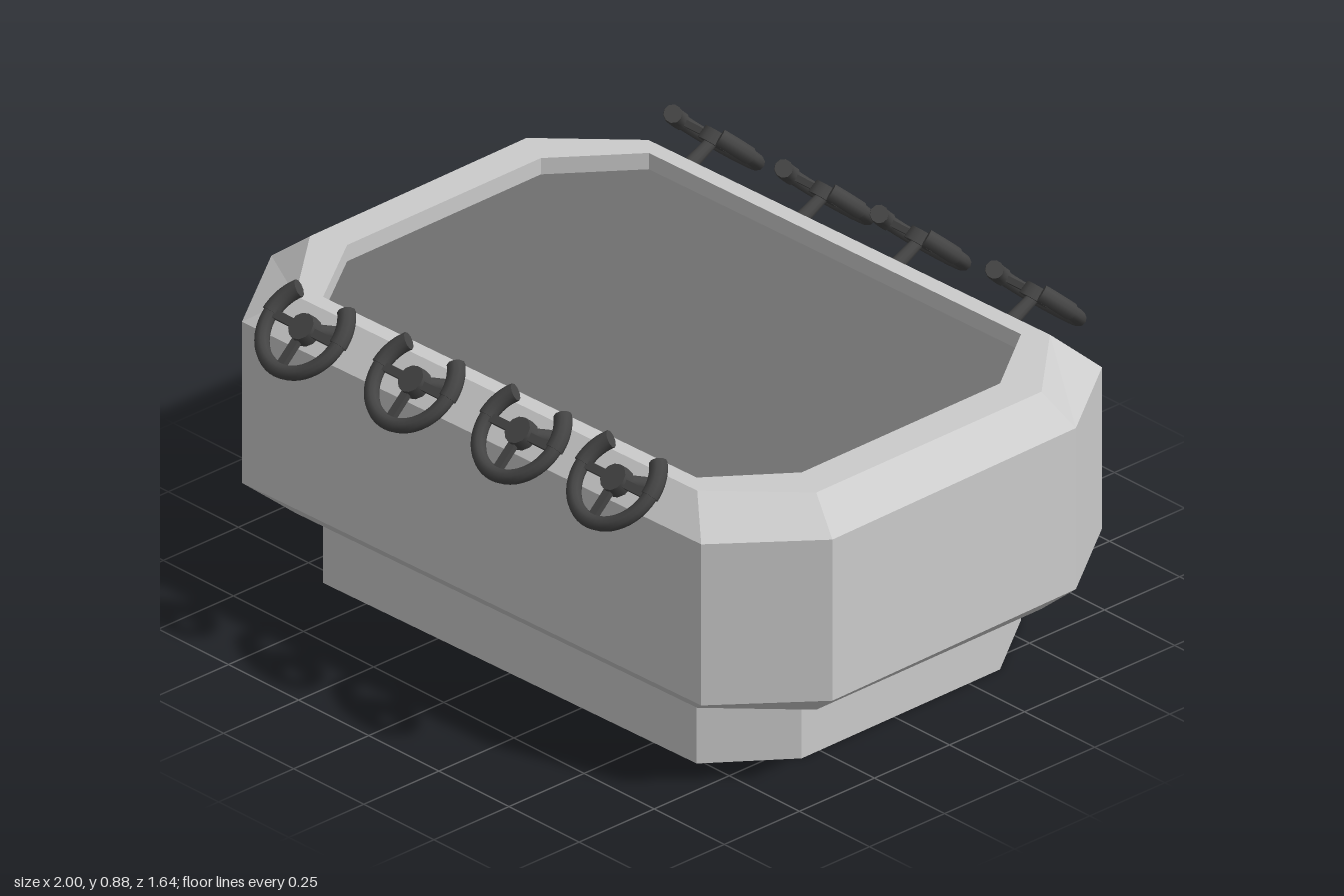
import * as THREE from 'three';

const grey = new THREE.MeshStandardMaterial({ color: 0xcccccc, flatShading: true });
const floorGrey = new THREE.MeshStandardMaterial({ color: 0x707070, flatShading: true });
const dark = new THREE.MeshStandardMaterial({ color: 0x444444 });

// Eight-cornered, slightly skewed outlines as [x, z]
const belly = [[-0.8, -0.66], [0.8, -0.695], [0.985, -0.435], [1, 0.39], [0.8, 0.64], [-0.8, 0.675], [-1, 0.39], [-0.995, -0.4]];
const rim = [[-0.7, -0.585], [0.7, -0.615], [0.9, -0.4], [0.905, 0.355], [0.7, 0.56], [-0.7, 0.59], [-0.9, 0.355], [-0.91, -0.375]];
const inner = [[-0.65, -0.54], [0.65, -0.565], [0.8, -0.355], [0.805, 0.31], [0.65, 0.515], [-0.65, 0.545], [-0.805, 0.32], [-0.81, -0.33]];

function geometryFrom(points) {
  const g = new THREE.BufferGeometry();
  g.setAttribute('position', new THREE.Float32BufferAttribute(points.flat(), 3));
  g.computeVertexNormals();
  return g;
}

const at = ([x, z], y) => [x, y, z];

// Walls joining successive [outline, height] sections
function skin(sections) {
  const pts = [];
  for (let s = 0; s < sections.length - 1; s++) {
    const [lo, y0] = sections[s], [hi, y1] = sections[s + 1];
    lo.forEach((p, i) => {
      const j = (i + 1) % lo.length;
      const a = at(p, y0), b = at(lo[j], y0), c = at(hi[i], y1), d = at(hi[j], y1);
      pts.push(a, c, b, b, c, d);
    });
  }
  return geometryFrom(pts);
}

// Flat fan filling an outline
function cap(outline, y, up) {
  const pts = [];
  for (let i = 1; i < outline.length - 1; i++) {
    const [m, n] = up ? [i + 1, i] : [i, i + 1];
    pts.push(at(outline[0], y), at(outline[m], y), at(outline[n], y));
  }
  return geometryFrom(pts);
}

function add(parent, name, geometry, material) {
  const mesh = new THREE.Mesh(geometry, material);
  mesh.name = name;
  parent.add(mesh);
  return mesh;
}

// Steering wheel, open at the top, facing outward and up
function steeringWheel(x, z) {
  const R = 0.119, tilt = 0.82;
  const unit = new THREE.Group();
  unit.name = 'steeringUnit';
  unit.position.set(x, 0.805, z);
  if (z < 0) unit.rotation.y = Math.PI;

  const wheel = new THREE.Group();
  wheel.name = 'steeringWheel';
  wheel.rotation.x = -tilt;
  unit.add(wheel);

  add(wheel, 'wheelRing', new THREE.TorusGeometry(R, 0.019, 10, 36, Math.PI * 1.5), dark).rotation.z = Math.PI * 0.75;

  // Thicker grips beside the gap, closed at both ends
  for (const start of [0, Math.PI * 0.75]) {
    add(wheel, 'grip', new THREE.TorusGeometry(R, 0.023, 10, 10, Math.PI / 4), dark).rotation.z = start;
    for (const [angle, turn] of [[start, Math.PI / 2], [start + Math.PI / 4, -Math.PI / 2]]) {
      const end = add(wheel, 'gripEnd', new THREE.CircleGeometry(0.023, 10), dark);
      end.position.set(R * Math.cos(angle), R * Math.sin(angle), 0);
      end.rotation.set(turn, 0, angle, 'ZXY');
    }
  }

  // Hub and three spokes: left, right and down
  add(wheel, 'hub', new THREE.CylinderGeometry(0.036, 0.04, 0.034, 12), dark).rotation.x = Math.PI / 2;
  for (const angle of [0, Math.PI, -Math.PI / 2]) {
    const spoke = add(wheel, 'spoke', new THREE.BoxGeometry(R, 0.022, 0.016), dark);
    spoke.position.set(Math.cos(angle) * R / 2, Math.sin(angle) * R / 2, 0);
    spoke.rotation.z = angle;
  }

  // Column running down into the sloping rim
  const column = add(unit, 'steeringColumn', new THREE.CylinderGeometry(0.015, 0.021, 0.14, 12), dark);
  const dir = new THREE.Vector3(0, 0.45, 0.89).normalize();
  column.quaternion.setFromUnitVectors(new THREE.Vector3(0, 1, 0), dir);
  column.position.copy(dir).multiplyScalar(-0.065);
  return unit;
}

export function createModel() {
  const model = new THREE.Group();
  model.name = 'table';

  add(model, 'plinth', skin([[inner, 0], [inner, 0.19]]), grey);
  add(model, 'plinthBottom', cap(inner, 0, false), grey);
  add(model, 'body', skin([
    [inner, 0.19], [rim, 0.19], [belly, 0.265], [belly, 0.71], [rim, 0.79], [inner, 0.79], [inner, 0.745],
  ]), grey);
  add(model, 'playingSurface', cap(inner, 0.745, true), floorGrey);

  const places = [
    [-0.54, 0.71], [-0.16, 0.7], [0.21, 0.69], [0.545, 0.685],
    [-0.575, -0.69], [-0.185, -0.695], [0.145, -0.705], [0.545, -0.715],
  ];
  for (const [x, z] of places) model.add(steeringWheel(x, z));
  return model;
}
